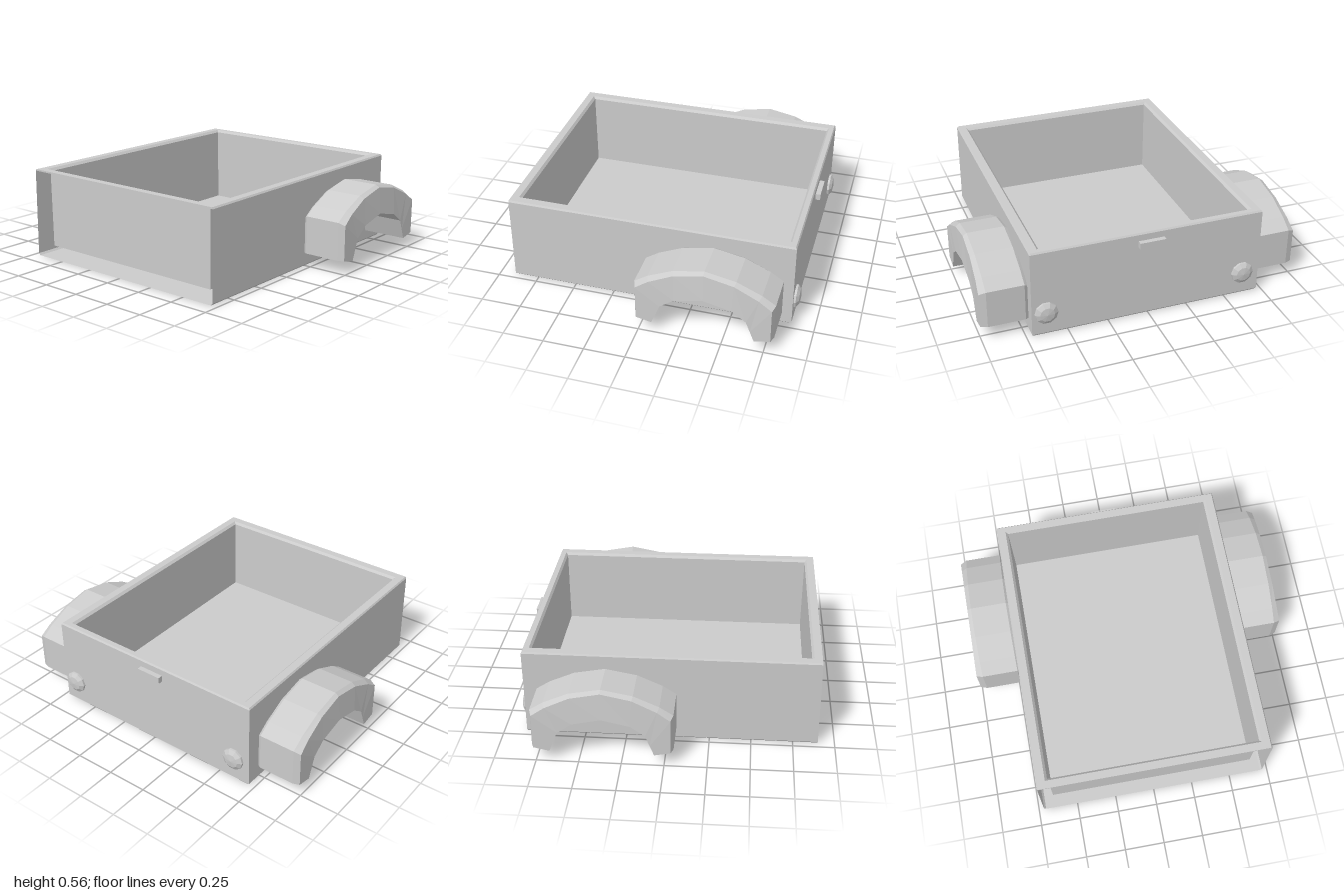
import * as THREE from 'three';

const grey = new THREE.MeshStandardMaterial({ color: 0xcccccc, flatShading: true });
const greyDouble = new THREE.MeshStandardMaterial({ color: 0xcccccc, flatShading: true, side: THREE.DoubleSide });

// Flat-shaded geometry from a list of polygons (each a fan of [x, y, z] corners)
function fromPolygons(polygons) {
  const pos = [];
  for (const p of polygons)
    for (let i = 1; i < p.length - 1; i++) pos.push(...p[0], ...p[i], ...p[i + 1]);
  const g = new THREE.BufferGeometry();
  g.setAttribute('position', new THREE.Float32BufferAttribute(pos, 3));
  g.computeVertexNormals();
  return g;
}

// Quads between consecutive closed loops; skip(row, side) leaves a quad out
function loft(loops, skip = () => false) {
  const quads = [];
  for (let r = 0; r < loops.length - 1; r++) {
    const a = loops[r], b = loops[r + 1], n = a.length;
    for (let j = 0; j < n; j++) {
      const k = (j + 1) % n;
      if (!skip(r, j)) quads.push([a[j], a[k], b[k], b[j]]);
    }
  }
  return quads;
}

function addMesh(group, name, geometry, material = grey) {
  const m = new THREE.Mesh(geometry, material);
  m.name = name;
  group.add(m);
  return m;
}

// Hollow-walled tub: outer skin, rim, inner walls and floor; the -x outer end is open
function bedShell() {
  const rect = (x0, x1, z, y) => [[x0, y, -z], [x0, y, z], [x1, y, z], [x1, y, -z]];
  const loops = [
    rect(-0.9, 0.85, 0.705, 0),
    rect(-0.9, 0.86, 0.717, 0.012),
    rect(-0.895, 0.86, 0.717, 0.55),
    rect(-0.895, 0.853, 0.71, 0.56),
    rect(-0.848, 0.822, 0.662, 0.56),
    rect(-0.835, 0.81, 0.648, 0.545),
    rect(-0.832, 0.81, 0.645, 0.06),
  ];
  const polygons = loft(loops, (row, side) => side === 0 && row < 2);
  polygons.push([...loops[0]].reverse(), loops[loops.length - 1]);
  return fromPolygons(polygons);
}

// Bevelled wheel arch, swept station by station along x, from z = 0.71 to 1
function fenderGeometry() {
  const half = [ // outer x, outer y, inner x, inner y
    [-0.415, 0.09, -0.305, 0.07],
    [-0.415, 0.325, -0.28, 0.135],
    [-0.335, 0.378, -0.255, 0.2],
    [-0.185, 0.445, -0.17, 0.262],
    [0, 0.48, 0, 0.3],
  ];
  const stations = [...half, ...half.slice(0, 4).reverse().map(([a, b, c, d]) => [-a, b, -c, d])];
  const loops = stations.map(([ox, oy, ix, iy], i) => {
    const bx = ox * 0.965;
    const by = i === 0 || i === stations.length - 1 ? oy : oy - 0.016;
    const face = 1 - 0.1 * Math.max(0, by - 0.31);
    return [
      [ix, iy, 0.71], [bx, by, 0.71], [ox, oy, 0.735],
      [ox, oy, 0.96], [bx, by, face], [ix, iy, 1],
    ];
  });
  const polygons = loft(loops);
  polygons.push([...loops[0]].reverse(), loops[loops.length - 1]);
  return fromPolygons(polygons);
}

export function createModel() {
  const model = new THREE.Group();
  model.name = 'truckBed';

  addMesh(model, 'bedShell', bedShell(), greyDouble);

  // Wheel arches, the far one set slightly further along -x
  const fender = fenderGeometry();
  addMesh(model, 'fenderFront', fender).position.x = 0.387;
  const back = addMesh(model, 'fenderBack', fender);
  back.position.x = 0.362;
  back.rotation.y = Math.PI;

  // Round tail lights
  const profile = [[0.07, -0.01], [0.07, 0.014], [0.045, 0.03], [0, 0.036]];
  const lamp = new THREE.LatheGeometry(profile.map(([r, h]) => new THREE.Vector2(r, h)), 10);
  lamp.rotateZ(-Math.PI / 2);
  for (const [name, z] of [['tailLightFront', 0.63], ['tailLightBack', -0.608]])
    addMesh(model, name, lamp).position.set(0.859, 0.152, z);

  // Tailgate handle
  addMesh(model, 'tailgateHandle', new THREE.BoxGeometry(0.04, 0.04, 0.16)).position.set(0.87, 0.49, -0.01);

  return model;
}
